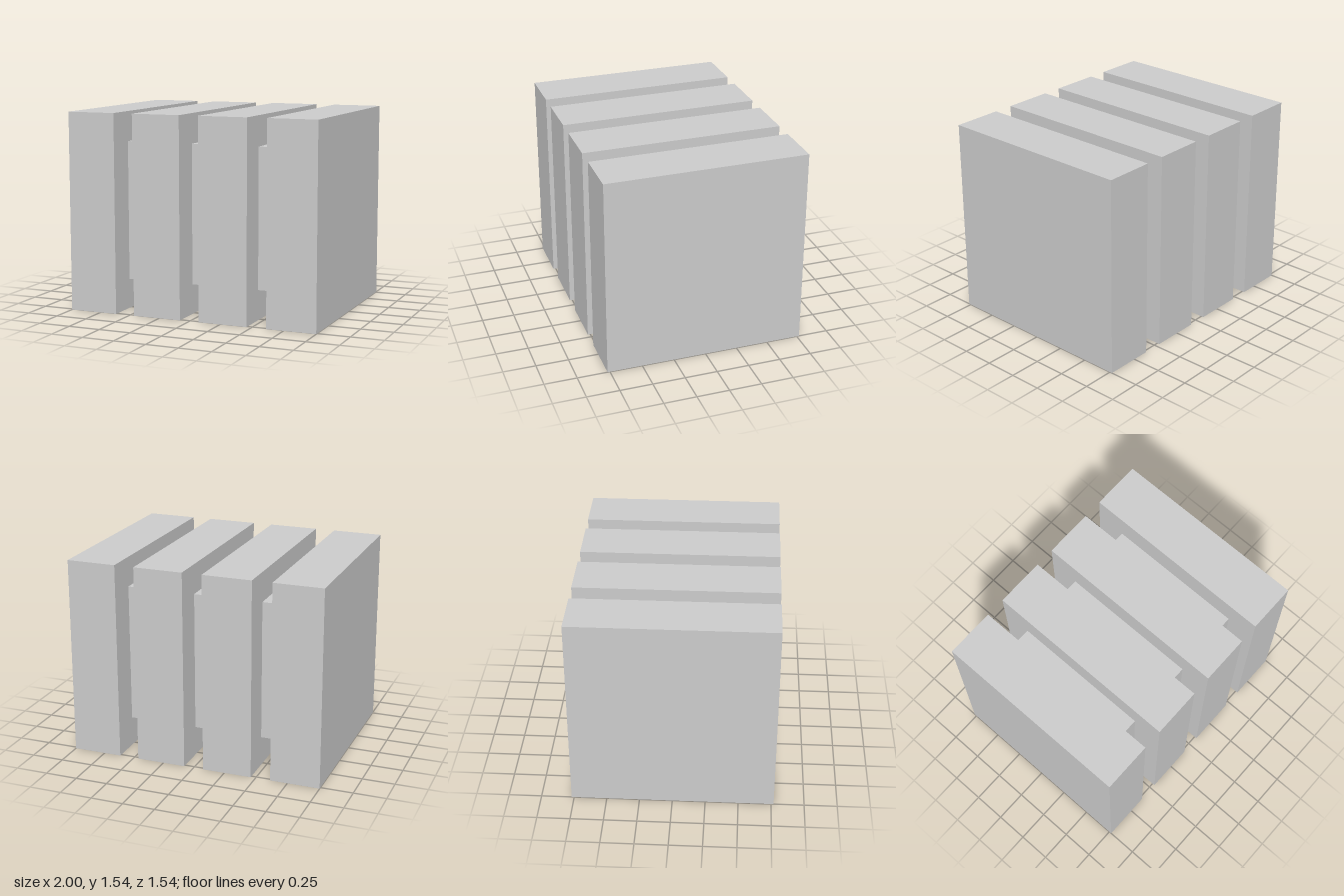
import * as THREE from 'three';

export function createModel() {
  const group = new THREE.Group();
  const material = new THREE.MeshStandardMaterial({ color: 0xcccccc, flatShading: true });

  const unit = 2 / 26; // overall length is 26 units
  const slabWidth = 5 * unit, gap = 2 * unit;
  const slabSize = 20 * unit, spacerSize = 14 * unit;
  const pitch = slabWidth + gap, count = 4;

  function addBlock(name, width, size, x) {
    const mesh = new THREE.Mesh(new THREE.BoxGeometry(width, size, size), material);
    mesh.name = name;
    mesh.position.set(x, slabSize / 2, 0);
    group.add(mesh);
  }

  // Four square slabs in a row, joined by smaller recessed spacers
  for (let i = 0; i < count; i++) {
    const x = (i - (count - 1) / 2) * pitch;
    addBlock(`slab${i + 1}`, slabWidth, slabSize, x);
    if (i < count - 1) addBlock(`spacer${i + 1}`, gap, spacerSize, x + pitch / 2);
  }

  return group;
}
